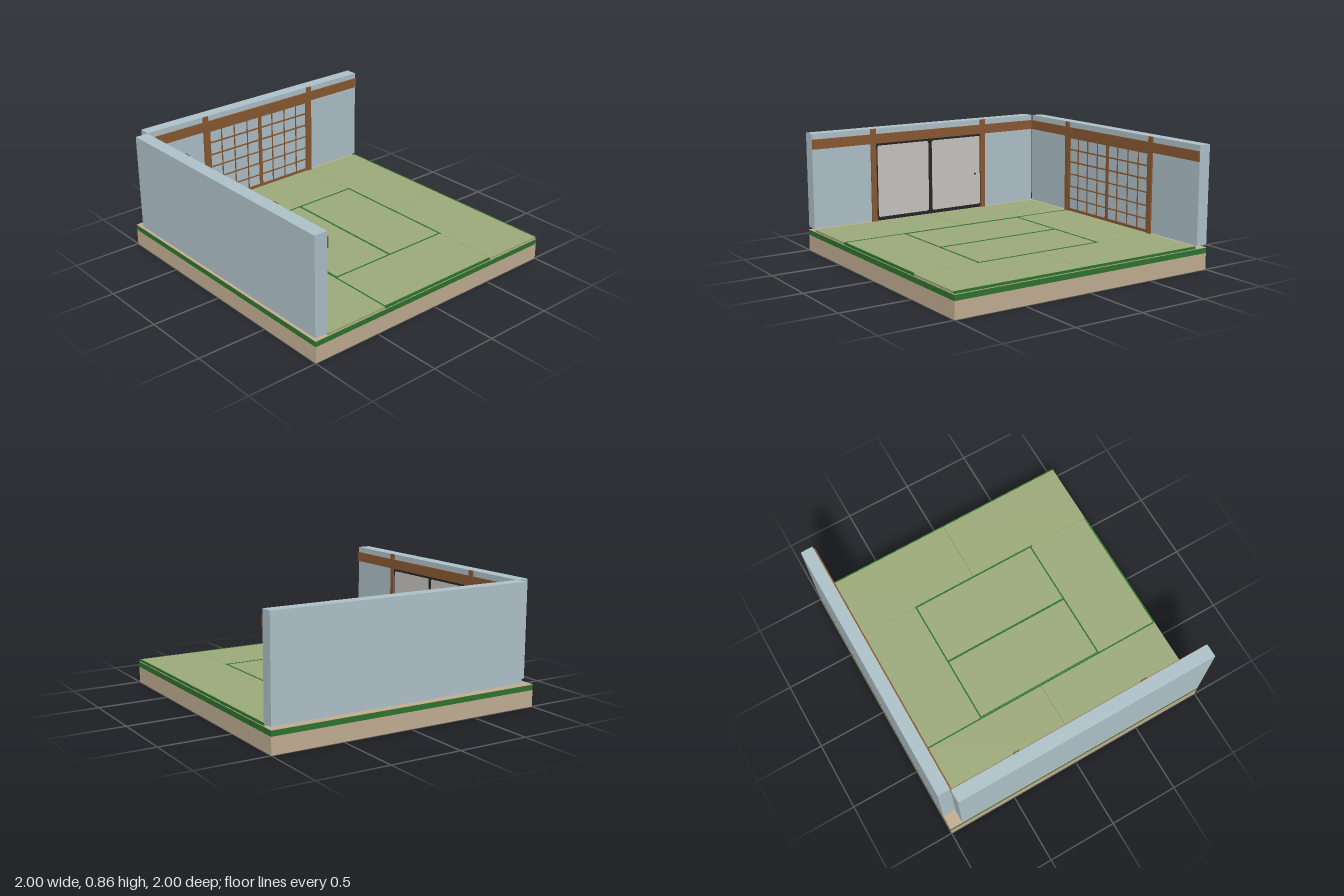
import * as THREE from 'three';

const mat = (name, color) => {
  const m = new THREE.MeshStandardMaterial({ color });
  m.name = name;
  return m;
};

export function createModel() {
  const root = new THREE.Group();
  root.name = 'tatamiRoom';
  const earth = mat('earth', 0xc4b094);
  const green = mat('green', 0x2f752f);
  const straw = mat('straw', 0x9eac7b);
  const plaster = mat('plaster', 0xb0c4cb);
  const wood = mat('wood', 0x8b5a33);
  const black = mat('black', 0x262626);
  const paper = mat('paper', 0xc9c7c2);

  // Box given by its minimum and maximum on each axis
  const box = (parent, name, material, x0, x1, y0, y1, z0, z1) => {
    const mesh = new THREE.Mesh(new THREE.BoxGeometry(x1 - x0, y1 - y0, z1 - z0), material);
    mesh.position.set((x0 + x1) / 2, (y0 + y1) / 2, (z0 + z1) / 2);
    mesh.name = name;
    parent.add(mesh);
    return mesh;
  };
  const group = (name) => {
    const g = new THREE.Group();
    g.name = name;
    root.add(g);
    return g;
  };

  // Layered base
  const base = group('base');
  box(base, 'baseBlock', earth, -1, 1, 0, 0.115, -1, 1);
  box(base, 'greenBand', green, -1, 1, 0.115, 0.152, -1, 1);
  box(base, 'baseTop', earth, -1, 1, 0.152, 0.155, -1, 1);

  // Floor mats: x0, x1, z0, z1
  const mats = group('mats');
  const gap = 0.0015;
  [
    [-0.9, -0.43, -0.91, 0.043], [-0.9, -0.43, 0.043, 0.997],
    [-0.43, 0.525, -0.91, -0.437], [-0.43, 0.525, 0.525, 0.997],
    [-0.43, 0.048, -0.437, 0.525], [0.048, 0.525, -0.437, 0.525],
    [0.525, 0.995, -0.91, 0.043], [0.525, 0.995, 0.043, 0.997],
  ].forEach(([x0, x1, z0, z1]) =>
    box(mats, 'mat', straw, x0 + gap, x1 - gap, 0.155, 0.17, z0 + gap, z1 - gap));

  // Cloth edging on the mats: centre line, start, end
  const y0 = 0.156, y1 = 0.172, w = 0.005;
  [[-0.433, -0.905, 0.997, w], [-0.423, -0.437, 0.525, 0.003], [0.048, -0.437, 0.525, 0.007],
    [0.525, -0.445, 0.535, 0.006], [0.993, -0.905, 0.997, 0.004]]
    .forEach(([x, a, b, h]) => box(mats, 'matEdging', green, x - h, x + h, y0, y1, a, b));
  [[-0.438, -0.43, 0.525], [0.523, -0.43, 0.525], [0.993, -0.43, 0.525]]
    .forEach(([z, a, b]) => box(mats, 'matEdging', green, a, b, y0, y1 + 0.0005, z - w, z + w));

  // Back wall with rail and posts
  const back = group('backWall');
  box(back, 'wall', plaster, -0.9, 1, 0.175, 0.86, -1, -0.912);
  box(back, 'rail', wood, -0.9, 1, 0.75, 0.82, -0.912, -0.9);
  [-0.43, 0.52].forEach((x) =>
    box(back, 'post', wood, x - 0.021, x + 0.021, 0.17, 0.86, -0.912, -0.901));

  // Lattice screen
  const screen = group('latticeScreen');
  const bar = (x0, x1, b, t) => box(screen, 'latticeBar', wood, x0, x1, b, t, -0.912, -0.905);
  [[-0.402, 0.008], [-0.295, 0.003], [-0.182, 0.003], [-0.066, 0.003], [0.051, 0.014],
    [0.165, 0.003], [0.28, 0.003], [0.392, 0.003], [0.494, 0.005]]
    .forEach(([x, h]) => bar(x - h, x + h, 0.175, 0.75));
  [[0.743, 0.007], [0.65, 0.005], [0.555, 0.005], [0.46, 0.004], [0.365, 0.004], [0.27, 0.004], [0.182, 0.01]]
    .forEach(([y, h]) => bar(-0.409, 0.499, y - h, y + h));

  // Left-hand wall with rail and posts
  const side = group('sideWall');
  box(side, 'wall', plaster, -1, -0.906, 0.175, 0.86, -0.91, 0.997);
  box(side, 'rail', wood, -0.906, -0.895, 0.75, 0.82, -0.9, 0.997);
  [0.515, -0.436].forEach((z) =>
    box(side, 'post', wood, -0.906, -0.896, 0.17, 0.86, z - 0.021, z + 0.021));

  // Sliding doors: black frame, rounded paper panels, small pull
  const doors = group('slidingDoors');
  box(doors, 'doorFrame', black, -0.906, -0.901, 0.172, 0.75, -0.415, 0.494);
  const panelShape = (width, height, r) => {
    const s = new THREE.Shape();
    const a = width / 2, b = height / 2;
    s.moveTo(-a + r, -b);
    s.lineTo(a - r, -b).quadraticCurveTo(a, -b, a, -b + r);
    s.lineTo(a, b - r).quadraticCurveTo(a, b, a - r, b);
    s.lineTo(-a + r, b).quadraticCurveTo(-a, b, -a, b - r);
    s.lineTo(-a, -b + r).quadraticCurveTo(-a, -b, -a + r, -b);
    return s;
  };
  [0.267, -0.194].forEach((z) => {
    const panel = new THREE.Mesh(
      new THREE.ExtrudeGeometry(panelShape(0.43, 0.535, 0.016), { depth: 0.003, bevelEnabled: false, curveSegments: 4 }),
      paper);
    panel.name = 'doorPanel';
    panel.rotation.y = Math.PI / 2;
    panel.position.set(-0.902, 0.466, z);
    doors.add(panel);
  });
  const pull = new THREE.Mesh(new THREE.CylinderGeometry(0.008, 0.008, 0.004, 12), black);
  pull.name = 'doorPull';
  pull.rotation.z = Math.PI / 2;
  pull.position.set(-0.898, 0.44, -0.363);
  doors.add(pull);

  return root;
}
